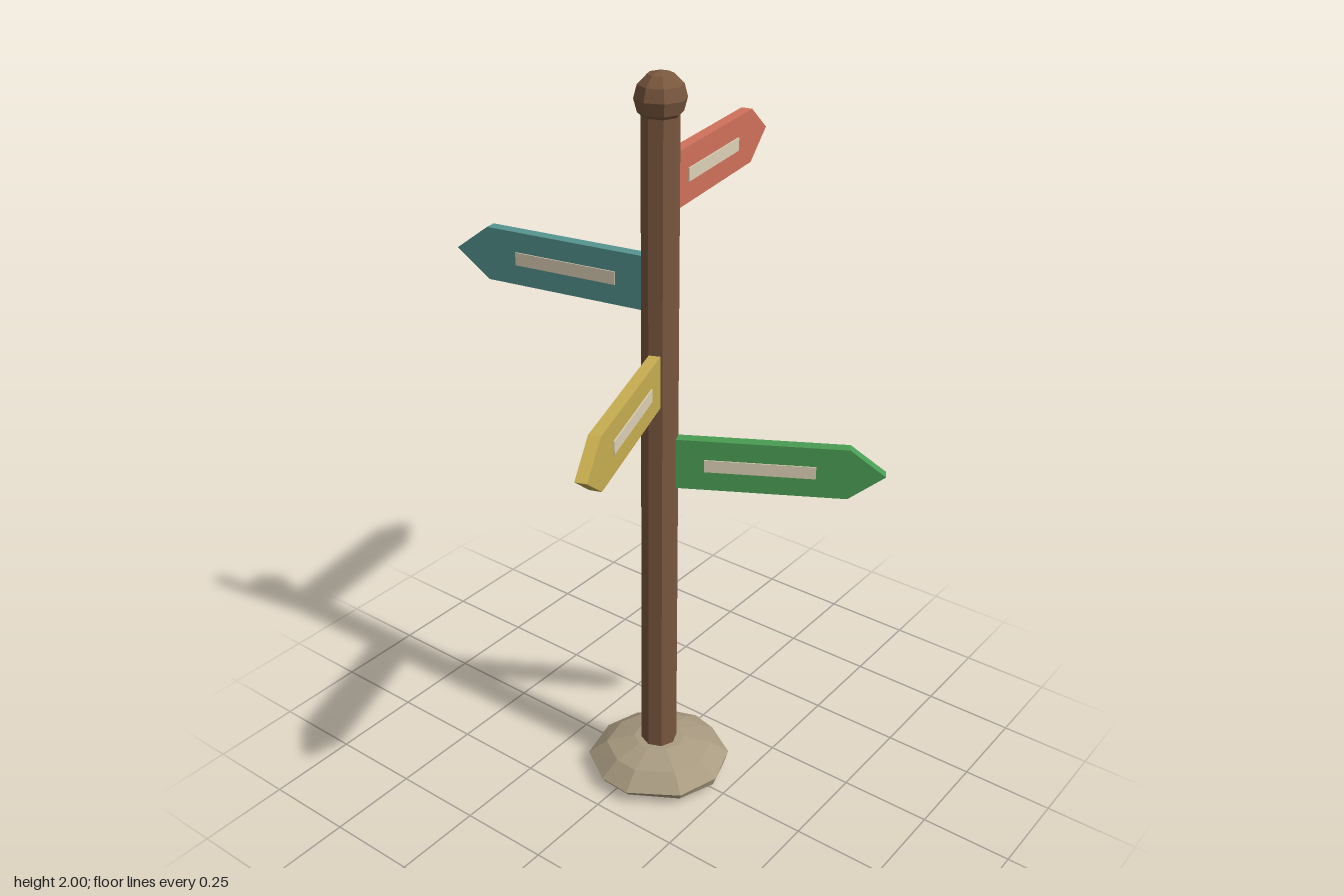
import * as THREE from 'three';

const mat = (name, color, flatShading = false) => {
  const m = new THREE.MeshStandardMaterial({ color, flatShading });
  m.name = name;
  return m;
};

function add(parent, name, geometry, material) {
  const mesh = new THREE.Mesh(geometry, material);
  mesh.name = name;
  parent.add(mesh);
  return mesh;
}

// Faceted stone: rings of [radius scale, height, tilt] following an uneven outline
function stoneGeometry() {
  const outline = [
    [-0.197, 0.06], [-0.12, 0.19], [-0.01, 0.23], [0.1, 0.195], [0.155, 0.1], [0.17, 0.03],
    [0.14, -0.06], [0.08, -0.12], [-0.01, -0.155], [-0.13, -0.13], [-0.192, -0.03],
  ];
  const cx = -0.013, cz = 0.033, n = outline.length;
  const rings = [[0, 0.012, 0], [0.7, 0.012, 0], [0.96, 0.026, 0], [1, 0.05, 0.07], [0.74, 0.086, 0.02], [0.35, 0.108, 0], [0, 0.11, 0]];
  const pos = [], index = [];
  for (const [s, y, tilt] of rings) {
    for (const [x, z] of outline) pos.push(cx + (x - cx) * s, y + tilt * (x - cx), cz + (z - cz) * s);
  }
  for (let r = 0; r < rings.length - 1; r++) {
    for (let i = 0; i < n; i++) {
      const a = r * n + i, b = r * n + (i + 1) % n;
      if (r > 0) index.push(a, b, b + n);
      if (r < rings.length - 2) index.push(a, b + n, a + n);
      if (r === 0) index.push(a, b + n, a + n);
    }
  }
  const g = new THREE.BufferGeometry();
  g.setAttribute('position', new THREE.Float32BufferAttribute(pos, 3));
  g.setIndex(index);
  const flat = g.toNonIndexed();
  flat.computeVertexNormals();
  return flat;
}

export function createModel() {
  const group = new THREE.Group();
  group.name = 'signpost';
  const wood = mat('brown wood', 0x7a583f, true);
  const stone = mat('tan stone', 0xa99b81, true);
  const cream = mat('cream label', 0xddd2b6);

  add(group, 'stoneBase', stoneGeometry(), stone);

  // Post and ball finial share one axis
  const post = new THREE.Group();
  post.name = 'postAssembly';
  post.position.set(-0.013, 0, 0.033);
  group.add(post);
  add(post, 'post', new THREE.CylinderGeometry(0.046, 0.05, 1.92, 8), wood).position.y = 0.96;
  add(post, 'ballFinial', new THREE.SphereGeometry(0.063, 8, 6), wood).position.y = 1.937;

  // Arrow board outline, pointing along +x
  const arrow = new THREE.Shape([
    [0.035, -0.07], [0.482, -0.07], [0.575, 0], [0.482, 0.07], [0.035, 0.07],
  ].map(([x, y]) => new THREE.Vector2(x, y)));
  const thickness = 0.03;
  const board = new THREE.ExtrudeGeometry(arrow, { depth: thickness, bevelEnabled: false });
  board.translate(0, 0, -thickness / 2);
  const label = new THREE.BoxGeometry(0.284, 0.034, 0.004);

  const signs = [
    ['coralSign', 1.725, 10, mat('coral paint', 0xd0715a)],
    ['tealSign', 1.483, 100, mat('teal paint', 0x559591)],
    ['yellowSign', 1.242, 200, mat('yellow paint', 0xc8ad50)],
    ['greenSign', 1.0, 300, mat('green paint', 0x499c54)],
  ];
  for (const [name, y, degrees, paint] of signs) {
    const sign = new THREE.Group();
    sign.name = name;
    sign.position.y = y;
    sign.rotation.y = THREE.MathUtils.degToRad(degrees);
    post.add(sign);
    add(sign, 'arrowBoard', board, paint);
    // Blank label on both faces
    for (const side of [-1, 1]) {
      add(sign, 'label', label, cream).position.set(0.258, 0, side * (thickness / 2 + 0.001));
    }
  }
  return group;
}
